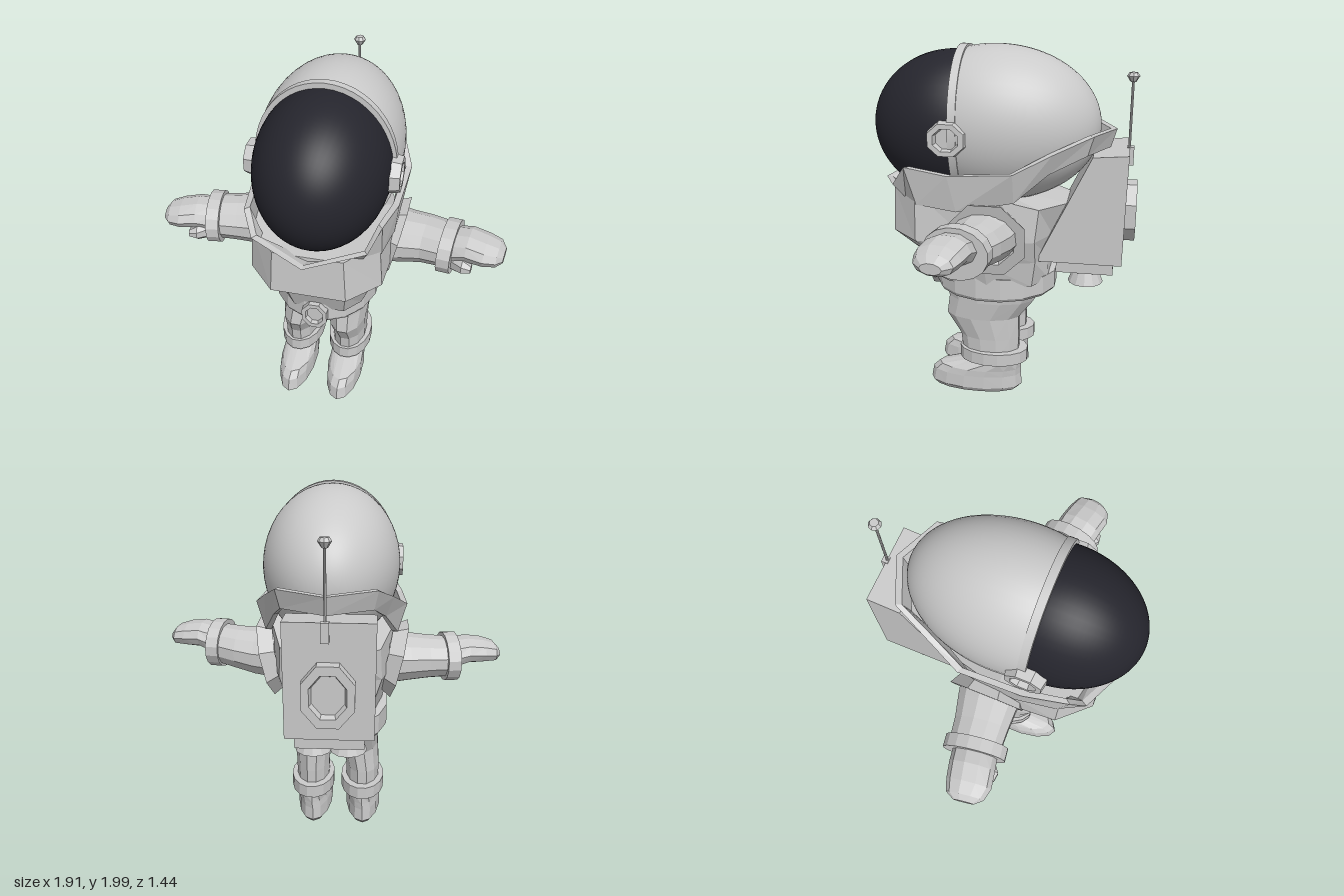
import * as THREE from 'three';
import { toCreasedNormals } from 'three/addons/utils/BufferGeometryUtils.js';

const suit = new THREE.MeshStandardMaterial({ color: 0xcacaca });
suit.name = 'suit grey';
const glass = new THREE.MeshStandardMaterial({ color: 0x25252d });
glass.name = 'visor dark';

const V = (x, y, z) => new THREE.Vector3(x, y, z);

// Points around an oval, placed by a rule of cosine and sine
const oval = (n, place) => Array.from({ length: n }, (_, i) => {
  const a = ((i + 0.5) / n) * Math.PI * 2;
  return place(Math.cos(a), Math.sin(a));
});

// Skin a list of equal rings with flat facets; closed joins last ring to first
function loft(rings, closed = false) {
  const tris = [], n = rings[0].length, m = rings.length;
  const centre = r => r.reduce((s, p) => s.add(p), V(0, 0, 0)).divideScalar(n);
  const first = rings[0], last = rings[m - 1], c0 = centre(first), c1 = centre(last);
  for (let j = 0; j < n; j++) {
    const k = (j + 1) % n;
    for (let i = 0; i < (closed ? m : m - 1); i++) {
      const a = rings[i], b = rings[(i + 1) % m];
      tris.push([a[j], b[j], b[k]], [a[j], b[k], a[k]]);
    }
    if (!closed) tris.push([c0, first[j], first[k]], [c1, last[k], last[j]]);
  }
  // Turn all faces outward
  const volume = tris.reduce((s, [a, b, c]) => s + a.dot(b.clone().cross(c)), 0);
  const pts = tris.flatMap(([a, b, c]) => (volume < 0 ? [a, c, b] : [a, b, c]));
  const g = new THREE.BufferGeometry().setFromPoints(pts);
  g.computeVertexNormals();
  return g;
}

// Rings across y: rows of [y, cx, cz, rx, rz]
const upright = (rows, n = 12) => loft(rows.map(([y, cx, cz, rx, rz]) =>
  oval(n, (c, s) => V(cx + c * rx, y, cz + s * rz))));

// Rings across x, leaning forward: rows of [x, cy, cz, ry, rz]
const sideways = (side, rows, n = 12) => loft(rows.map(([x, cy, cz, ry, rz]) =>
  oval(n, (c, s) => V(side * (x - 0.15 * s * rz), cy + c * ry, cz + s * rz))));

// Eight-sided raised plate with a sunken middle, facing +z; base sets the taper
function badge(rx, ry, depth, base = 1) {
  const p = [[base, 0], [1, depth], [0.7, depth], [0.62, depth * 0.5], [0, depth * 0.5]];
  const g = new THREE.LatheGeometry(p.map(q => new THREE.Vector2(...q)), 8, Math.PI / 8);
  g.rotateX(Math.PI / 2).scale(rx, ry, 1);
  return toCreasedNormals(g, 0.4);
}

export function createModel() {
  const model = new THREE.Group();
  model.name = 'astronaut';
  const add = (name, geo, x = 0, y = 0, z = 0, mat = suit) => {
    const mesh = new THREE.Mesh(geo, mat);
    mesh.name = name;
    mesh.position.set(x, y, z);
    model.add(mesh);
    return mesh;
  };

  // Helmet shell, visor and the rim between them
  const shell = new THREE.SphereGeometry(1, 48, 32, 0, Math.PI * 2, 1.266, Math.PI - 1.266);
  add('helmetShell', shell.rotateX(Math.PI / 2).scale(0.37, 0.42, 0.565), 0.005, 1.58, 0.05);
  const visor = new THREE.SphereGeometry(1, 48, 24, 0, Math.PI * 2, 0, Math.PI / 2 + 0.1);
  add('visor', visor.rotateX(Math.PI / 2).scale(0.343, 0.4, 0.455), 0.008, 1.57, 0.265, glass);
  const rimProfile = [[0.93, 0.195], [0.995, 0.195], [0.995, 0.238], [0.93, 0.238], [0.93, 0.195]];
  const rim = new THREE.LatheGeometry(rimProfile.map(p => new THREE.Vector2(...p)), 48);
  add('helmetRim', toCreasedNormals(rim.rotateX(Math.PI / 2).scale(0.362, 0.42, 1), 0.4), 0.008, 1.58, 0);
  for (const s of [-1, 1]) {
    const ear = add('earpiece', badge(0.1, 0.088, 0.07, 1.14), 0.005 + s * 0.32, 1.56, 0.24);
    ear.rotation.y = s * Math.PI / 2;
  }

  // Collar: a thick faceted band, rim points then foot points, front to back
  const rimPts = [[0, 1.25, 0.69], [0.29, 1.29, 0.56], [0.345, 1.4, 0.48], [0.39, 1.375, 0.24],
    [0.405, 1.4, -0.1], [0.33, 1.49, -0.29], [0.25, 1.575, -0.49], [0, 1.57, -0.6]];
  const footPts = [[0, 1.2, 0.58], [0.26, 1.21, 0.5], [0.34, 1.2, 0.42], [0.37, 1.18, 0.2],
    [0.36, 1.24, -0.1], [0.29, 1.38, -0.27], [0.23, 1.47, -0.46], [0, 1.47, -0.57]];
  const stations = rimPts.map((p, i) => {
    const t = V(...p), f = V(...footPts[i]);
    const inward = V(-t.x, 0, 0.08 - t.z).setLength(0.035);
    return [t, t.clone().add(inward), f.clone().add(inward), f];
  });
  const mirrored = stations.slice(1, -1).reverse().map(r => r.map(p => V(-p.x, p.y, p.z)));
  add('collar', loft([...stations, ...mirrored], true));

  // Torso: half outlines of [x, y, z], front to back, mirrored
  const halves = [
    [[0.18, 1.24, 0.585], [0.33, 1.27, 0.43], [0.37, 1.28, 0.1], [0.27, 1.18, -0.22], [0.12, 1.18, -0.36]],
    [[0.195, 1.0, 0.595], [0.35, 1.0, 0.43], [0.37, 1.0, 0.1], [0.28, 1.0, -0.2], [0.12, 1.0, -0.28]],
    [[0.16, 0.87, 0.44], [0.27, 0.87, 0.33], [0.31, 0.87, 0.07], [0.24, 0.87, -0.2], [0.1, 0.87, -0.25]],
    [[0.14, 0.72, 0.38], [0.22, 0.72, 0.28], [0.27, 0.72, 0.06], [0.22, 0.72, -0.18], [0.09, 0.72, -0.26]],
  ];
  add('torso', loft(halves.map(h =>
    [...h, ...h.slice().reverse().map(([x, y, z]) => [-x, y, z])].map(p => V(...p)))));

  // Belt, a little higher at the front, with its buckle
  add('belt', loft([[0.63, 0.96, 0], [0.65, 1, 0.01], [0.775, 1, 0.08], [0.78, 0.9, 0.08]].map(([y, k, tilt]) =>
    oval(16, (c, s) => V(-0.02 + c * 0.3 * k, y + s * tilt * 0.35, 0.055 + s * 0.35 * k)))));
  add('buckle', badge(0.075, 0.088, 0.045), -0.015, 0.695, 0.385);

  // Arms: shoulder socket tilted outward at the top, sleeve, cuff, mitten and thumb
  const arms = [
    { s: -1, y0: 1.04, y1: 1.035, y2: 1.06, z1: 0.09, z2: 0.14 },
    { s: 1, y0: 1.055, y1: 1.08, y2: 1.115, z1: 0.12, z2: 0.17 },
  ];
  for (const { s, y0, y1, y2, z1, z2 } of arms) {
    const socket = badge(0.22, 0.228, 0.08, 0.8).rotateY(s * Math.PI / 2).rotateZ(-s * 0.22);
    add('shoulderSocket', socket, s * 0.298, 1.05, 0.04);
    add('sleeve', sideways(s, [[0.3, y0, 0.05, 0.15, 0.185], [0.42, y0, 0.06, 0.135, 0.165],
      [0.53, (y0 + y1) / 2, 0.075, 0.122, 0.15], [0.67, y1, z1, 0.112, 0.14]]));
    add('cuff', sideways(s, [[0.625, y1, z1, 0.135, 0.17], [0.695, y1, z1 + 0.01, 0.135, 0.17]], 16));
    add('mitten', sideways(s, [[0.66, y1 + 0.015, z1 + 0.01, 0.09, 0.12], [0.76, y2 + 0.012, z2 - 0.02, 0.076, 0.122],
      [0.85, y2 + 0.005, z2, 0.068, 0.12], [0.915, y2 - 0.003, z2 + 0.005, 0.055, 0.1],
      [0.945, y2 - 0.01, z2 + 0.01, 0.028, 0.055]], 10));
    add('thumb', sideways(s, [[0.68, y1 - 0.04, z1 + 0.06, 0.06, 0.06], [0.74, y2 - 0.065, z2 + 0.07, 0.046, 0.05],
      [0.785, y2 - 0.07, z2 + 0.085, 0.024, 0.028]], 8));
  }

  // Legs: trouser, ankle cuff and boot
  for (const [top, low] of [[-0.14, -0.18], [0.115, 0.118]]) {
    const mid = (top + low) / 2;
    add('trouser', upright([[0.68, top, 0.045, 0.132, 0.28], [0.6, top, 0.06, 0.128, 0.25],
      [0.49, mid, 0.11, 0.112, 0.215], [0.36, low, 0.07, 0.1, 0.175], [0.22, low, 0.065, 0.098, 0.165]]));
    add('ankleCuff', upright([[0.21, low, 0.05, 0.128, 0.2], [0.283, low, 0.05, 0.128, 0.2]], 16));
    add('boot', upright([[0.005, low - 0.005, 0.16, 0.085, 0.245], [0.035, low - 0.005, 0.16, 0.105, 0.275],
      [0.11, low - 0.005, 0.155, 0.104, 0.265], [0.15, low, 0.135, 0.1, 0.245], [0.2, low, 0.04, 0.096, 0.15],
      [0.24, low, 0.045, 0.096, 0.15]], 14));
  }

  // Backpack: side profile in z and y, with lower plates and rear hatch
  const profile = new THREE.Shape([[-0.2, 0.865], [-0.485, 1.455], [-0.67, 1.47], [-0.66, 0.865]]
    .map(p => new THREE.Vector2(...p)));
  const pack = new THREE.ExtrudeGeometry(profile, { depth: 0.445, bevelEnabled: false });
  add('backpack', pack.rotateY(-Math.PI / 2), 0.2);
  add('packPlate', new THREE.BoxGeometry(0.35, 0.07, 0.31), -0.02, 0.825, -0.46);
  add('packHatch', badge(0.14, 0.172, 0.06), -0.02, 1.115, -0.662).rotation.y = Math.PI;

  // Thruster nozzles, hollow at the bottom
  const nozzleProfile = [[0, 0.05], [0.05, 0.05], [0.075, 0], [0.098, 0], [0.065, 0.08]];
  for (const s of [-1, 1]) {
    const nozzle = new THREE.LatheGeometry(nozzleProfile.map(p => new THREE.Vector2(...p)), 12);
    add('nozzle', toCreasedNormals(nozzle, 0.4), -0.02 + s * 0.09, 0.715, -0.465);
  }

  // Antenna
  add('antennaBase', new THREE.BoxGeometry(0.04, 0.1, 0.035), -0.005, 1.425, -0.675);
  add('antennaRod', toCreasedNormals(new THREE.CylinderGeometry(0.007, 0.007, 0.37, 8), 0.4), -0.005, 1.645, -0.667);
  const tip = new THREE.CylinderGeometry(0.022, 0.034, 0.018, 8);
  add('antennaTip', toCreasedNormals(tip, 0.4), -0.005, 1.855, -0.667);
  add('antennaTipLower', toCreasedNormals(new THREE.CylinderGeometry(0.034, 0.015, 0.03, 8), 0.4), -0.005, 1.831, -0.667);

  return model;
}
